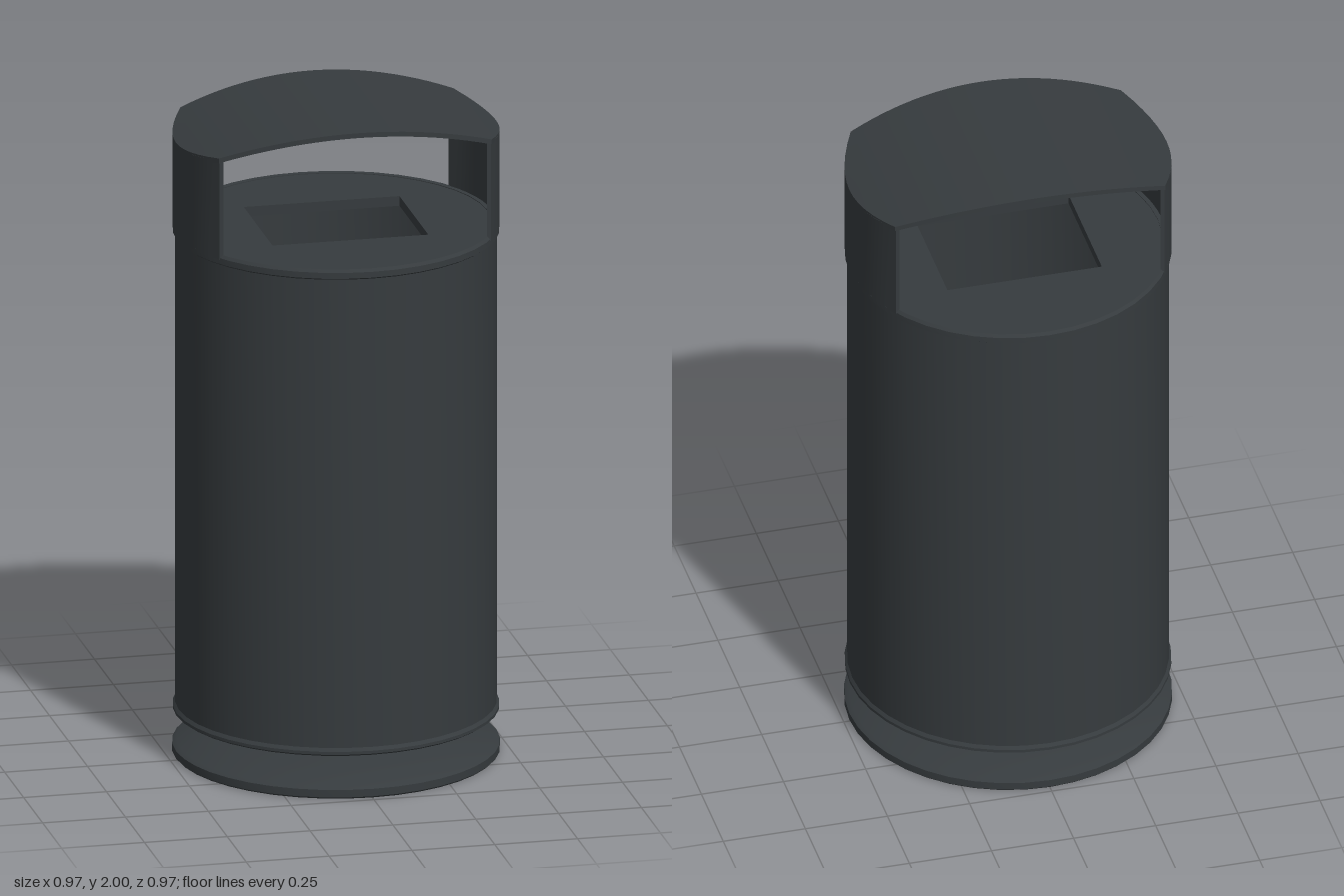
import * as THREE from 'three';
import { toCreasedNormals } from 'three/addons/utils/BufferGeometryUtils.js';

const SIDES = 40;
const RADIUS = 0.483;
const paint = new THREE.MeshStandardMaterial({ color: 0x363b3e });

function part(name, geometry) {
  const mesh = new THREE.Mesh(toCreasedNormals(geometry, 0.5), paint);
  mesh.name = name;
  return mesh;
}

function lathe(name, profile) {
  return part(name, new THREE.LatheGeometry(profile.map(([r, y]) => new THREE.Vector2(r, y)), SIDES));
}

// Move every vertex of a geometry by a rule
function reshape(geometry, rule) {
  const p = geometry.attributes.position;
  for (let i = 0; i < p.count; i++) p.setXYZ(i, ...rule(p.getX(i), p.getY(i), p.getZ(i)));
  return geometry;
}

// Height of the arched hood above a given x
const archHeight = (x) => 2 - 0.09 * (x / 0.478) ** 2;

export function createModel() {
  const bin = new THREE.Group();
  bin.name = 'litterBin';

  // Domed foot with a short stem
  bin.add(lathe('base', [
    [0, 0], [0.478, 0], [RADIUS, 0.005], [RADIUS, 0.028], [0.47, 0.036], [0.36, 0.06],
    [0.22, 0.083], [0.1, 0.094], [0.075, 0.115], [0.055, 0.124], [0.055, 0.14], [0, 0.14],
  ]));

  // Hollow drum with a rolled rim at both ends
  bin.add(lathe('drum', [
    [0, 0.13], [0.472, 0.13], [0.481, 0.136], [0.481, 0.145], [0.474, 0.155],
    [0.474, 1.602], [0.481, 1.607], [0.481, 1.625], [0.474, 1.634], [0.456, 1.634],
    [0.456, 0.17], [0, 0.17],
  ]));

  // Lid with a rectangular opening
  const lid = new THREE.Shape().absarc(0, 0, 0.46, 0, Math.PI * 2);
  const [hx, hz] = [0.235, 0.19];
  lid.holes.push(new THREE.Path().moveTo(-hx, -hz).lineTo(-hx, hz).lineTo(hx, hz).lineTo(hx, -hz).closePath());
  const lidGeometry = new THREE.ExtrudeGeometry(lid, { depth: 0.03, bevelEnabled: false, curveSegments: SIDES });
  bin.add(part('lid', lidGeometry.rotateX(-Math.PI / 2).translate(0, 1.602, 0)));

  // Arched hood: bowed long edges, ends cut to the drum's circle
  const hood = reshape(new THREE.BoxGeometry(2, 0.015, 2, 24, 1, 12), (u, y, v) => {
    const x = u * Math.sqrt(RADIUS ** 2 - (v * 0.253) ** 2);
    return [x, archHeight(x) - 0.0075 + y, v * (0.31 - 0.057 * (x / 0.412) ** 2)];
  });
  bin.add(part('hood', hood));

  // Curved side plates carrying the hood
  for (const side of [1, -1]) {
    const plate = reshape(new THREE.BoxGeometry(0.012, 1, 0.506, 1, 1, 12), (x, y, z) => {
      const px = Math.sqrt((RADIUS - 0.002) ** 2 - z * z) - 0.006 + x;
      return [px, y > 0 ? archHeight(px) - 0.006 : 1.62, z];
    });
    if (side < 0) plate.rotateY(Math.PI);
    bin.add(part(side > 0 ? 'leftHoodSupport' : 'rightHoodSupport', plate));
  }

  return bin;
}
